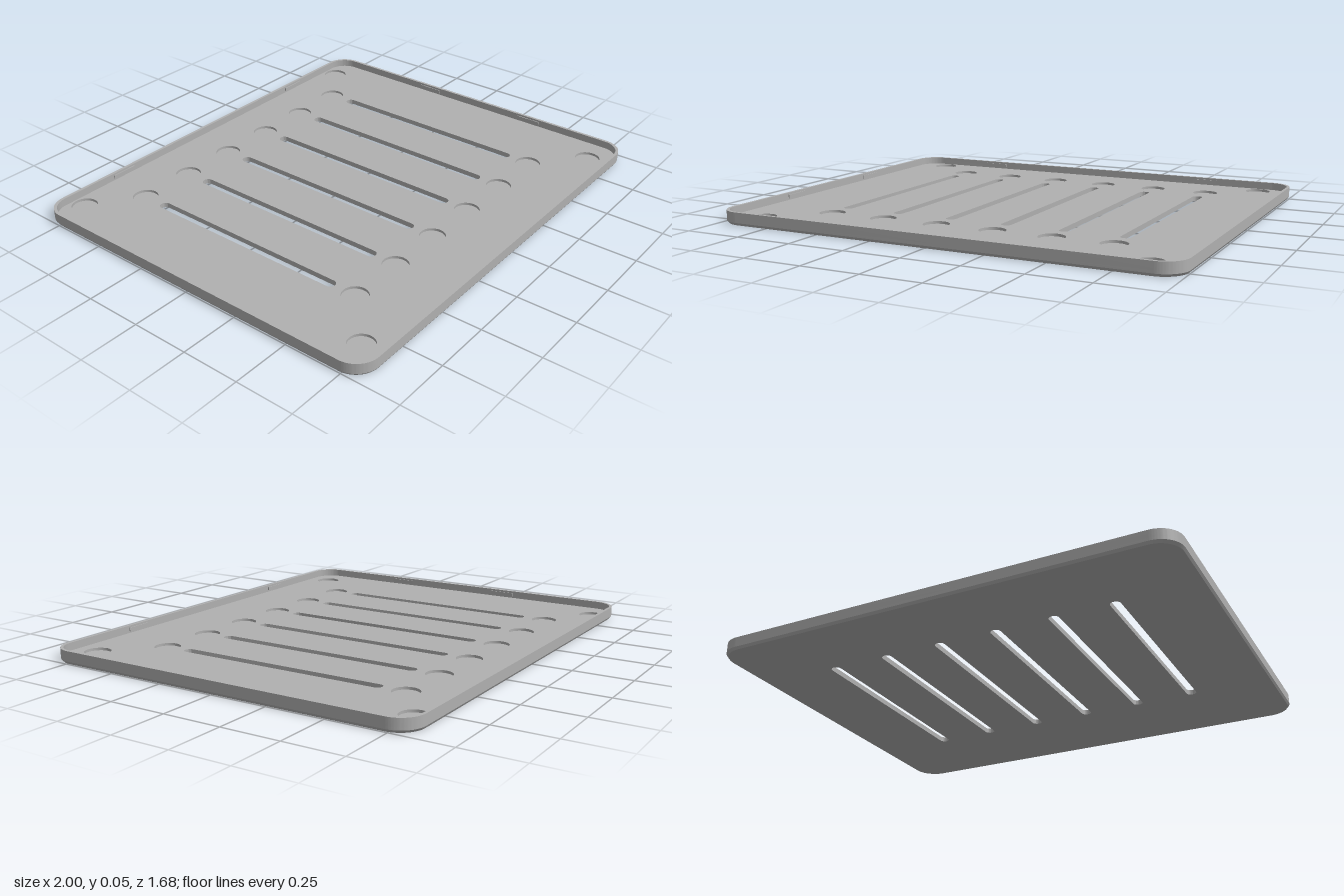
import * as THREE from 'three';
import { toCreasedNormals } from 'three/addons/utils/BufferGeometryUtils.js';

const W = 1, D = 0.84, H = 0.055;          // half width, half depth, height
const RECESS_Y = 0.011, FLOOR_Y = 0.022;   // recess bottoms and tray floor
const WALL = 0.013, RADIUS = 0.1;

// Rounded rectangle centred on (cx, cz), drawn with shape y = -z
function roundedRect(PathType, hx, hz, r, cx = 0, cz = 0) {
  const p = new PathType();
  p.absarc(cx + hx - r, -cz + hz - r, r, 0, Math.PI / 2);
  p.absarc(cx - hx + r, -cz + hz - r, r, Math.PI / 2, Math.PI);
  p.absarc(cx - hx + r, -cz - hz + r, r, Math.PI, Math.PI * 1.5);
  p.absarc(cx + hx - r, -cz - hz + r, r, Math.PI * 1.5, Math.PI * 2);
  p.closePath();
  return p;
}

function circle(x, z) {
  const p = new THREE.Path();
  p.absarc(x, -z, 0.055, 0, Math.PI * 2);
  return p;
}

// One horizontal layer of the tray between two heights
function layer(holes, y0, y1) {
  const shape = roundedRect(THREE.Shape, W, D, RADIUS);
  shape.holes.push(...holes);
  const g = new THREE.ExtrudeGeometry(shape, { depth: y1 - y0, bevelEnabled: false, curveSegments: 16 });
  return g.rotateX(-Math.PI / 2).translate(0, y0, 0);
}

export function createModel() {
  const tray = new THREE.Group();
  tray.name = 'slottedTray';
  const grey = new THREE.MeshStandardMaterial({ color: 0xb0b0b0 });
  grey.name = 'grey';

  const add = (name, geometry) => {
    const mesh = new THREE.Mesh(toCreasedNormals(geometry, 0.5), grey);
    mesh.name = name;
    tray.add(mesh);
    return mesh;
  };

  // Six through slots with a round recess at each end, plus four corner recesses
  const slots = () => columns.map(x => roundedRect(THREE.Path, 0.022, 0.475, 0.0215, x, -0.04));
  const columns = [0, 1, 2, 3, 4, 5].map(i => (i - 2.5) * 0.256);
  const recesses = columns.flatMap(x => [circle(x, -0.615), circle(x, 0.533)]);
  for (const x of [-0.85, 0.85]) recesses.push(circle(x, -0.765), circle(x, 0.725));

  // Base sheet, with its lower outer edge drawn in as a chamfer
  const base = layer(slots(), 0, RECESS_Y);
  const pos = base.attributes.position;
  for (let i = 0; i < pos.count; i++) {
    const x = pos.getX(i), z = pos.getZ(i);
    if (pos.getY(i) < 0.001 && (Math.abs(x) > 0.8 || Math.abs(z) > 0.7)) {
      pos.setX(i, x * 0.993);
      pos.setZ(i, z * 0.992);
    }
  }
  add('baseSheet', base);
  add('recessedFloor', layer([...slots(), ...recesses], RECESS_Y, FLOOR_Y));

  // Raised rim
  const opening = roundedRect(THREE.Path, W - WALL, D - WALL, RADIUS - WALL);
  add('rim', layer([opening], FLOOR_Y, H));

  // Small catches on the inside of the rim
  const catchY = 0.038, catchH = 0.016, catchT = 0.008, catchL = 0.116;
  const addCatch = (x, z, sx, sz) =>
    add('rimCatch', new THREE.BoxGeometry(sx, catchH, sz)).position.set(x, catchY, z);
  for (const s of [-1, 1]) {
    addCatch(s * 0.573, -(D - WALL), catchL, catchT);
    addCatch(s * 0.503, D - WALL, catchL, catchT);
    for (const z of [-0.243, 0.333]) addCatch(s * (W - WALL), z, catchT, catchL);
  }
  return tray;
}
